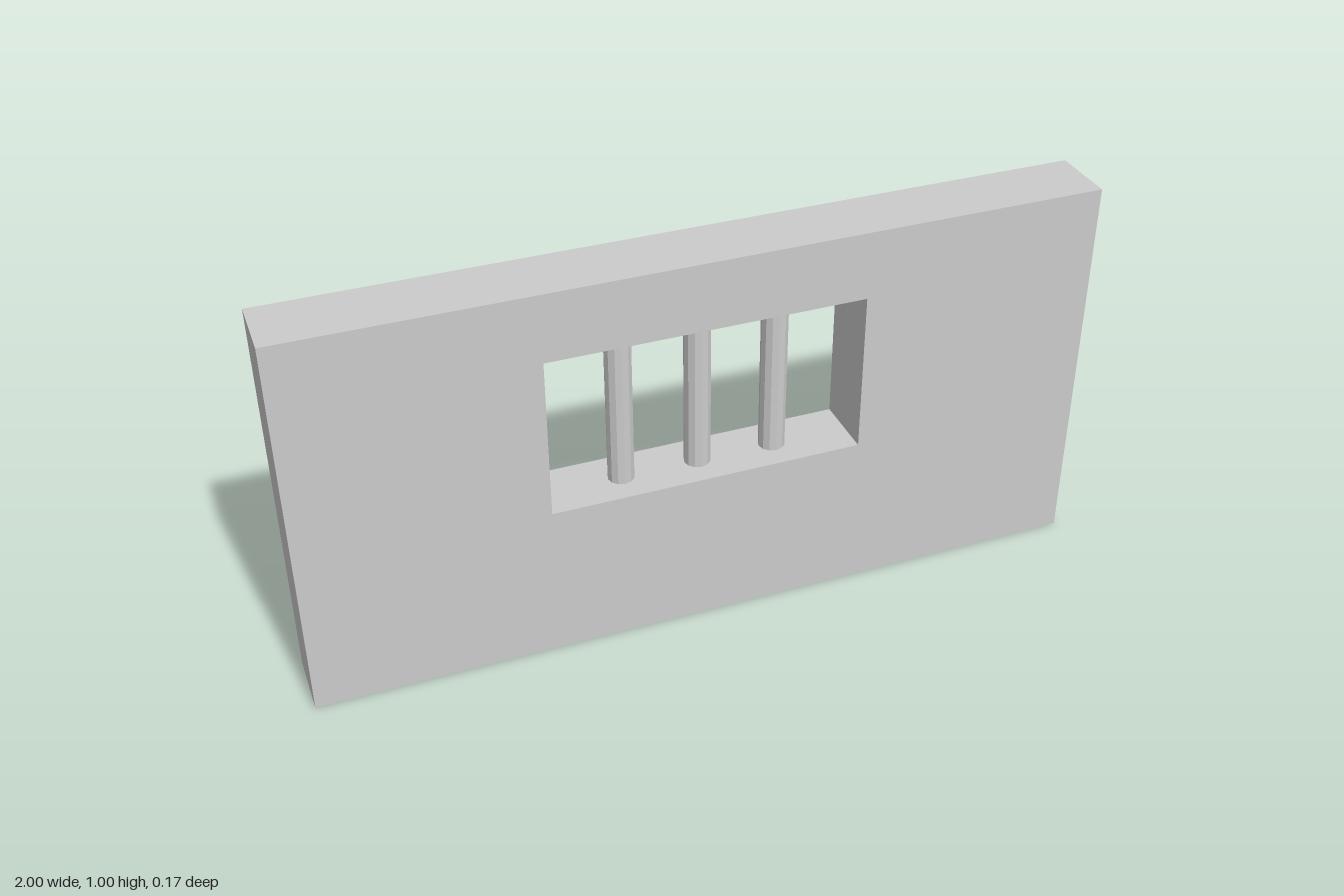
import * as THREE from 'three';

const WIDTH = 2, HEIGHT = 1, DEPTH = 0.17;
const WINDOW = { left: -0.395, right: 0.393, bottom: 0.41, top: 0.826 };

// Closed rectangular outline, for the wall and its opening
function rectangle(PathType, left, right, bottom, top) {
  return new PathType([
    new THREE.Vector2(left, bottom),
    new THREE.Vector2(right, bottom),
    new THREE.Vector2(right, top),
    new THREE.Vector2(left, top),
  ]);
}

export function createModel() {
  const model = new THREE.Group();
  model.name = 'barredWindowWall';
  const material = new THREE.MeshStandardMaterial({ color: 0xcccccc, flatShading: true });

  // Wall slab with the window cut through
  const outline = rectangle(THREE.Shape, -WIDTH / 2, WIDTH / 2, 0, HEIGHT);
  outline.holes.push(rectangle(THREE.Path, WINDOW.left, WINDOW.right, WINDOW.bottom, WINDOW.top));
  const wallGeometry = new THREE.ExtrudeGeometry(outline, { depth: DEPTH, bevelEnabled: false });
  wallGeometry.translate(0, 0, -DEPTH / 2);
  const wall = new THREE.Mesh(wallGeometry, material);
  wall.name = 'wall';
  model.add(wall);

  // Three upright bars between sill and lintel
  const barHeight = WINDOW.top - WINDOW.bottom;
  const barGeometry = new THREE.CylinderGeometry(0.033, 0.033, barHeight, 12);
  const bars = new THREE.Group();
  bars.name = 'windowBars';
  for (let i = -1; i <= 1; i++) {
    const bar = new THREE.Mesh(barGeometry, material);
    bar.name = 'bar';
    bar.position.set(i * 0.196, WINDOW.bottom + barHeight / 2, 0);
    bars.add(bar);
  }
  model.add(bars);

  return model;
}
